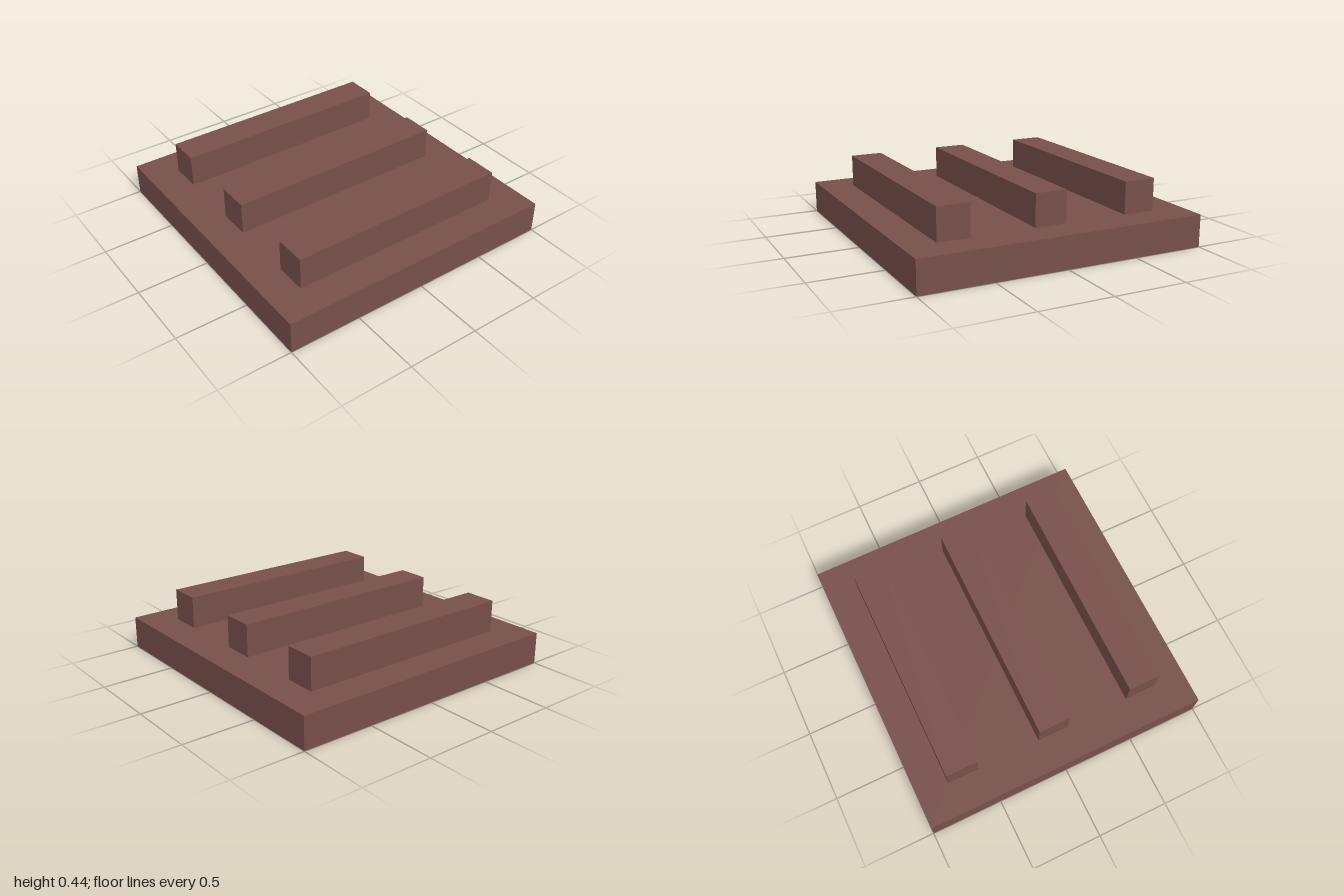
import * as THREE from 'three';

export function createModel() {
  const model = new THREE.Group();
  model.name = 'ridgedPlate';

  const brown = new THREE.MeshStandardMaterial({ color: 0x774f4a });
  brown.name = 'brown';

  const unit = 2 / 9; // slab thickness and bar width

  const addBox = (name, w, h, d, x, y) => {
    const mesh = new THREE.Mesh(new THREE.BoxGeometry(w, h, d), brown);
    mesh.name = name;
    mesh.position.set(x, y, 0);
    model.add(mesh);
  };

  // Square base slab
  addBox('baseSlab', 2, unit, 2, 0, unit / 2);

  // Three parallel bars running front to back
  ['rightBar', 'middleBar', 'leftBar'].forEach((name, i) => {
    addBox(name, unit, unit, 7 * unit, (i - 1) * 3 * unit, 1.5 * unit);
  });

  return model;
}
